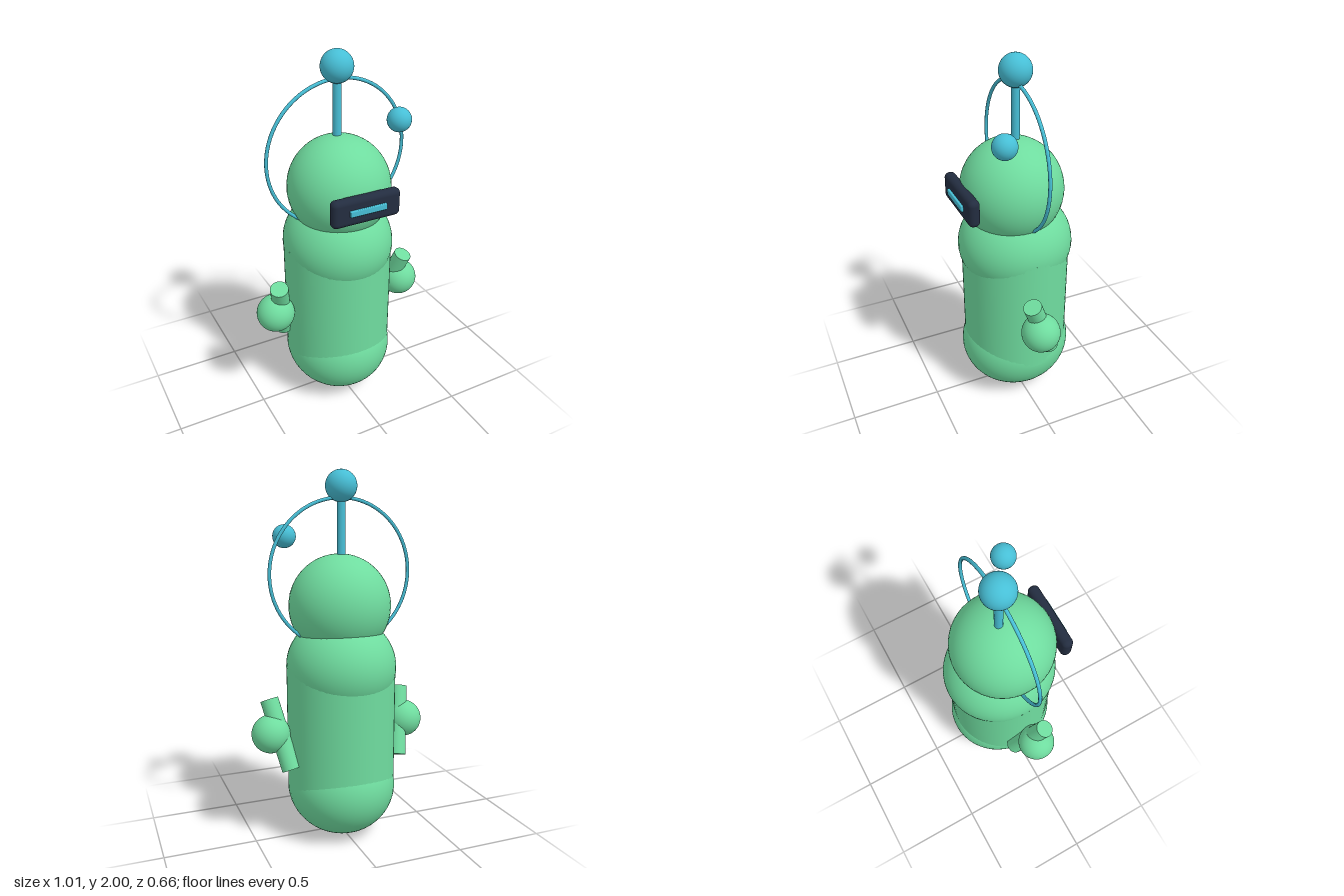
import * as THREE from 'three';
import { RoundedBoxGeometry } from 'three/addons/geometries/RoundedBoxGeometry.js';

function material(name, color) {
  const m = new THREE.MeshStandardMaterial({ color });
  m.name = name;
  return m;
}

export function createModel() {
  const green = material('green', 0x6fdc9f);
  const cyan = material('cyan', 0x47bfd6);
  const navy = material('navy', 0x232d40);
  const model = new THREE.Group();
  model.name = 'antennaRobot';

  function add(name, geometry, mat, x, y, z, parent = model) {
    const mesh = new THREE.Mesh(geometry, mat);
    mesh.name = name;
    mesh.position.set(x, y, z);
    parent.add(mesh);
    return mesh;
  }
  const ellipsoid = (rx, ry, rz) => new THREE.SphereGeometry(1, 48, 32).scale(rx, ry, rz);

  // Cylinder running between two points
  function rod(name, a, b, radius, mat, parent = model) {
    const dir = b.clone().sub(a);
    const mid = a.clone().add(b).multiplyScalar(0.5);
    const mesh = add(name, new THREE.CylinderGeometry(radius, radius, dir.length(), 28), mat, mid.x, mid.y, mid.z, parent);
    mesh.quaternion.setFromUnitVectors(new THREE.Vector3(0, 1, 0), dir.normalize());
    return mesh;
  }

  // Body: straight trunk with a bulging dome at each end
  const bodyZ = -0.012;
  add('trunk', new THREE.CylinderGeometry(0.299, 0.299, 0.69, 64).scale(1, 1, 0.99), green, 0, 0.615, bodyZ);
  add('lowerBody', ellipsoid(0.299, 0.28, 0.316), green, 0, 0.28, bodyZ);
  add('upperBody', ellipsoid(0.299, 0.28, 0.316), green, 0, 0.96, bodyZ);
  add('head', ellipsoid(0.277, 0.28, 0.277), green, 0, 1.287, 0.007);

  // Visor and its glowing strip
  add('visor', new RoundedBoxGeometry(0.386, 0.148, 0.062, 5, 0.028), navy, 0, 1.283, 0.286);
  add('visorStrip', new RoundedBoxGeometry(0.208, 0.034, 0.02, 3, 0.005), cyan, 0, 1.284, 0.32);

  // Antenna, halo ring and floating ball
  const antennaZ = -0.014;
  rod('antennaStem', new THREE.Vector3(0, 1.54, antennaZ), new THREE.Vector3(0, 1.88, antennaZ), 0.022, cyan);
  add('antennaBall', ellipsoid(0.084, 0.084, 0.084), cyan, 0, 1.916, antennaZ);
  add('haloRing', new THREE.TorusGeometry(0.395, 0.0095, 12, 96), cyan, 0, 1.462, antennaZ);
  add('floatingBall', ellipsoid(0.063, 0.063, 0.063), cyan, 0.261, 1.656, 0.158);

  // Arms: slanted rod with a round hand, mirrored left and right
  for (const [side, s] of [['left', 1], ['right', -1]]) {
    const arm = new THREE.Group();
    arm.name = side + 'Arm';
    rod(side + 'ArmRod', new THREE.Vector3(s * 0.39, 0.787, 0.063), new THREE.Vector3(s * 0.316, 0.425, -0.082), 0.05, green, arm);
    add(side + 'Hand', ellipsoid(0.105, 0.105, 0.105), green, s * 0.398, 0.607, 0.014, arm);
    model.add(arm);
  }
  return model;
}
